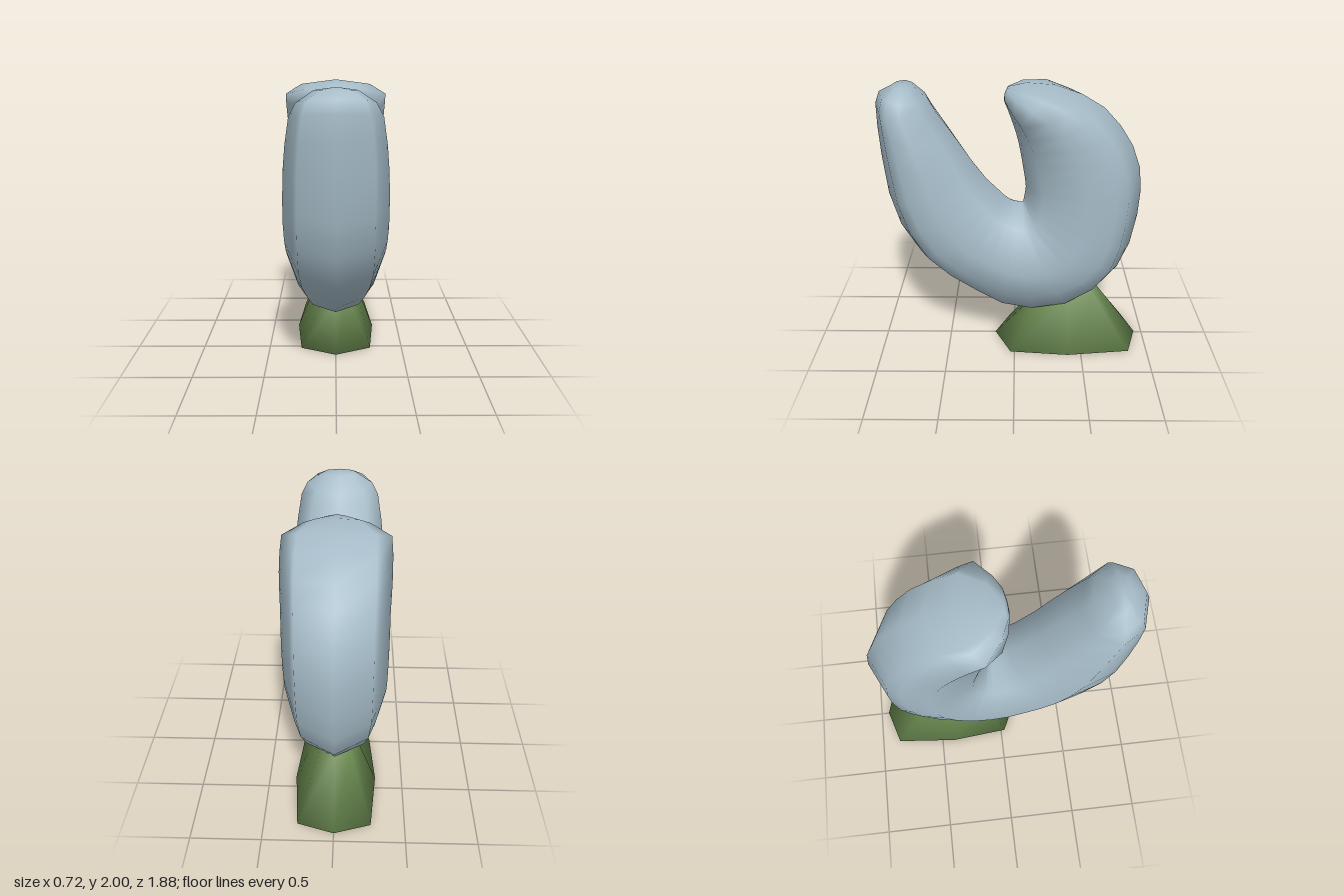
import * as THREE from 'three';

// Skin a list of equal-length rings of [x, y, z], closed at the given cap centres
function loft(rings, startCap, endCap) {
  const n = rings[0].length;
  const index = [];
  for (let i = 0; i < rings.length - 1; i++) {
    for (let j = 0; j < n; j++) {
      const a = i * n + j, a1 = i * n + (j + 1) % n, b = a + n, b1 = a1 + n;
      index.push(a, b, a1, b, b1, a1);
    }
  }
  const last = (rings.length - 1) * n;
  const start = rings.length * n, end = start + 1;
  for (let j = 0; j < n; j++) {
    const k = (j + 1) % n;
    index.push(start, j, k, end, last + k, last + j);
  }
  const g = new THREE.BufferGeometry();
  g.setAttribute('position', new THREE.Float32BufferAttribute([...rings.flat(2), ...startCap, ...endCap], 3));
  g.setIndex(index);
  g.computeVertexNormals();
  return g;
}

// Mirror a half ring (first and last points lie on x = 0)
const mirrorRing = (half) => [
  ...half,
  ...half.slice(1, -1).reverse().map(([x, y, z]) => [-x, y, z]),
];

// Claw section: outer z, y to inner z, y, half width, relative width of the outer ridge
function clawRing([oz, oy, iz, iy, w, ridge = 0.7]) {
  const ridgeDepth = 0.145 - (0.7 - ridge) * 0.35;
  const profile = [[0, 0], [ridgeDepth, ridge], [0.25, 0.79], [0.5, 1], [0.86, 0.7], [1, 0]];
  return mirrorRing(profile.map(([t, k]) => [
    w * k, oy + (iy - oy) * t, oz + (iz - oz) * t,
  ]));
}

// Front arm sections, tip downwards
const frontArm = [
  [0.82, 1.985, 0.68, 1.98, 0.13],
  [0.91, 1.94, 0.58, 1.88, 0.24],
  [0.94, 1.86, 0.53, 1.79, 0.285],
  [0.94, 1.7, 0.4, 1.6, 0.315],
  [0.93, 1.5, 0.29, 1.43, 0.335],
  [0.9, 1.2, 0.2, 1.31, 0.345],
  [0.83, 0.95, 0.12, 1.23, 0.35],
  [0.7, 0.73, 0.07, 1.18, 0.35],
];
// Rounded underside
const base = [
  [0.52, 0.57, 0.03, 1.15, 0.35, 0.66],
  [0.3, 0.43, 0, 1.14, 0.35, 0.58],
  [0.1, 0.32, -0.03, 1.135, 0.35, 0.48],
  [-0.13, 0.28, -0.05, 1.13, 0.35, 0.42],
  [-0.4, 0.32, -0.06, 1.13, 0.35, 0.46],
  [-0.62, 0.44, -0.065, 1.15, 0.35, 0.56],
  [-0.77, 0.6, -0.07, 1.18, 0.35, 0.65],
];
// Rear arm sections, base to curled tip
const rearArm = [
  [-0.85, 0.8, -0.075, 1.21, 0.35],
  [-0.89, 1.03, -0.08, 1.25, 0.35],
  [-0.9, 1.23, -0.073, 1.32, 0.35],
  [-0.88, 1.4, -0.06, 1.4, 0.35],
  [-0.82, 1.56, -0.045, 1.49, 0.35],
  [-0.73, 1.7, -0.03, 1.57, 0.355],
  [-0.61, 1.83, -0.01, 1.65, 0.36],
  [-0.46, 1.92, 0.02, 1.74, 0.36],
  [-0.27, 1.985, 0.045, 1.81, 0.355],
  [-0.08, 2, 0.07, 1.87, 0.22],
  [0.04, 1.975, 0.072, 1.885, 0.08],
];

export function createModel() {
  const shell = new THREE.MeshStandardMaterial({ color: 0xa5bbc7 });
  shell.name = 'blueGrey';
  const moss = new THREE.MeshStandardMaterial({ color: 0x67864d });
  moss.name = 'mossGreen';

  const group = new THREE.Group();
  group.name = 'pincer';

  // C-shaped claw
  const claw = new THREE.Mesh(
    loft([...frontArm, ...base, ...rearArm].map(clawRing), [0, 2, 0.75], [0, 1.935, 0.065]),
    shell,
  );
  claw.name = 'claw';

  // Flared foot with a smooth-shaded rim, its top sunk into the claw
  const top = [[0, 0.31, -0.13], [0.1, 0.32, -0.16], [0.155, 0.38, -0.38], [0.11, 0.45, -0.57], [0, 0.45, -0.61]];
  const bottom = [[0, 0, 0.15], [0.26, 0, 0.03], [0.3, 0, -0.4], [0.26, 0.01, -0.86], [0, 0.01, -0.94]];
  const foot = new THREE.Mesh(
    loft([mirrorRing(top), mirrorRing(bottom)], [0, 0.42, -0.38], [0, 0.005, -0.4]),
    moss,
  );
  foot.name = 'foot';

  group.add(claw, foot);
  return group;
}
